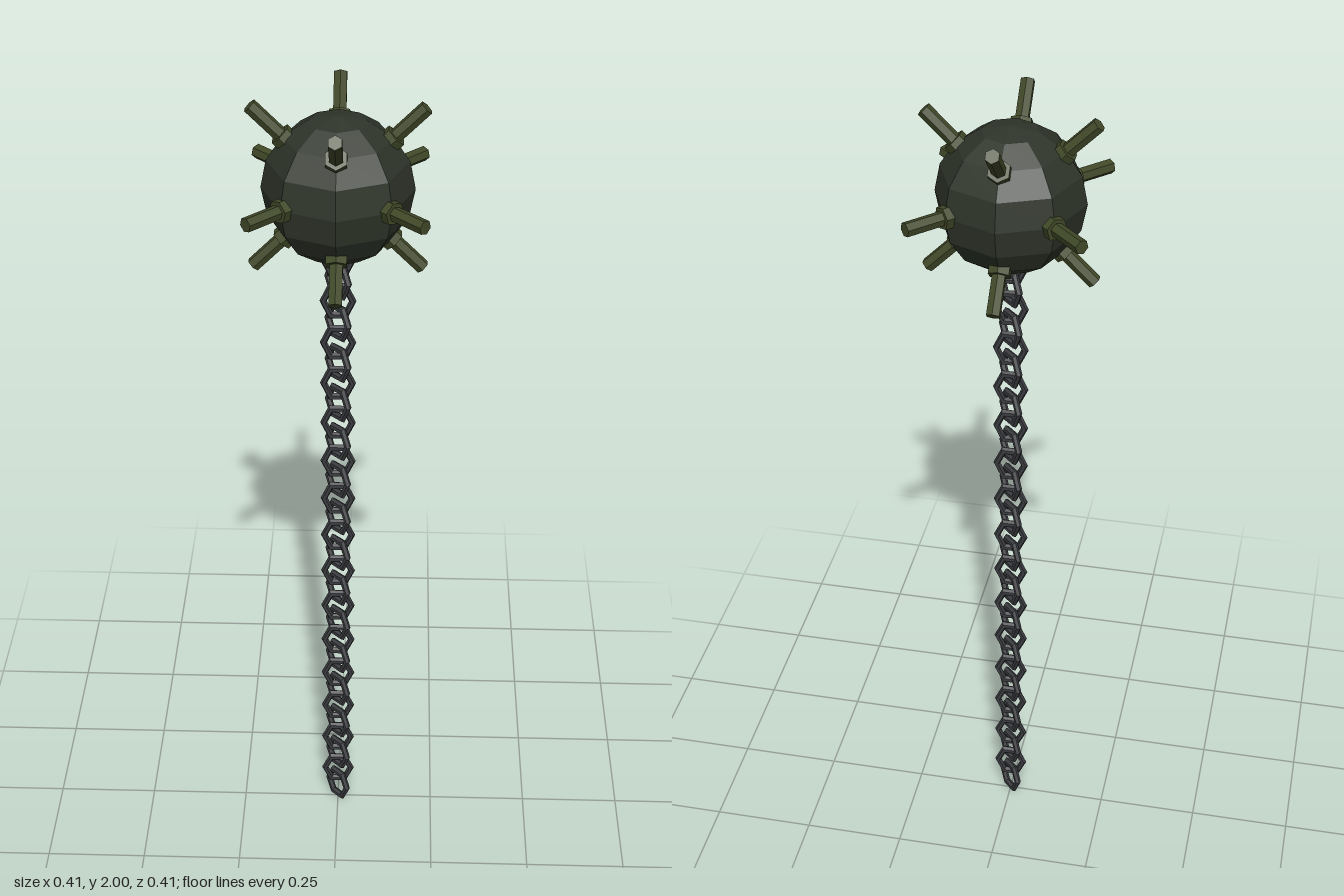
import * as THREE from 'three';

const mat = (name, color) => {
  const m = new THREE.MeshStandardMaterial({ color, flatShading: true });
  m.name = name;
  return m;
};

export function createModel() {
  const shell = mat('dark green shell', 0x2f352a);
  const spikeGreen = mat('olive spike', 0x414928);
  const iron = mat('dark iron', 0x3a3b3f);
  const model = new THREE.Group();
  model.name = 'spikedBallOnChain';

  const add = (parent, name, geometry, material) => {
    const mesh = new THREE.Mesh(geometry, material);
    mesh.name = name;
    parent.add(mesh);
    return mesh;
  };

  // Faceted ball
  const ball = new THREE.Group();
  ball.name = 'ball';
  ball.position.y = 1.8;
  model.add(ball);
  add(ball, 'shell', new THREE.SphereGeometry(0.172, 8, 8), shell);

  // Twelve spikes with hexagonal collars, pointing at the edges of a cube
  const rodGeo = new THREE.CylinderGeometry(0.017, 0.017, 0.132, 6).translate(0, 0.206, 0);
  const collarGeo = new THREE.CylinderGeometry(0.027, 0.027, 0.04, 6).translate(0, 0.16, 0);
  const up = new THREE.Vector3(0, 1, 0);
  for (const a of [-1, 1]) {
    for (const b of [-1, 1]) {
      for (const d of [[a, b, 0], [a, 0, b], [0, a, b]]) {
        const spike = new THREE.Group();
        spike.name = 'spike';
        spike.quaternion.setFromUnitVectors(up, new THREE.Vector3(...d).normalize());
        add(spike, 'spikeRod', rodGeo, spikeGreen);
        add(spike, 'spikeCollar', collarGeo, spikeGreen);
        ball.add(spike);
      }
    }
  }

  // Chain of hexagonal links, every other one turned by 45 degrees
  const chain = new THREE.Group();
  chain.name = 'chain';
  model.add(chain);
  const linkGeo = new THREE.TorusGeometry(0.034, 0.0085, 6, 6).scale(1, 1.25, 1);
  for (let i = 0; i < 30; i++) {
    const link = add(chain, 'chainLink', linkGeo, iron);
    link.position.y = 0.046 + i * 0.0545;
    link.rotation.y = i % 2 ? 0 : -Math.PI / 4;
  }
  return model;
}
